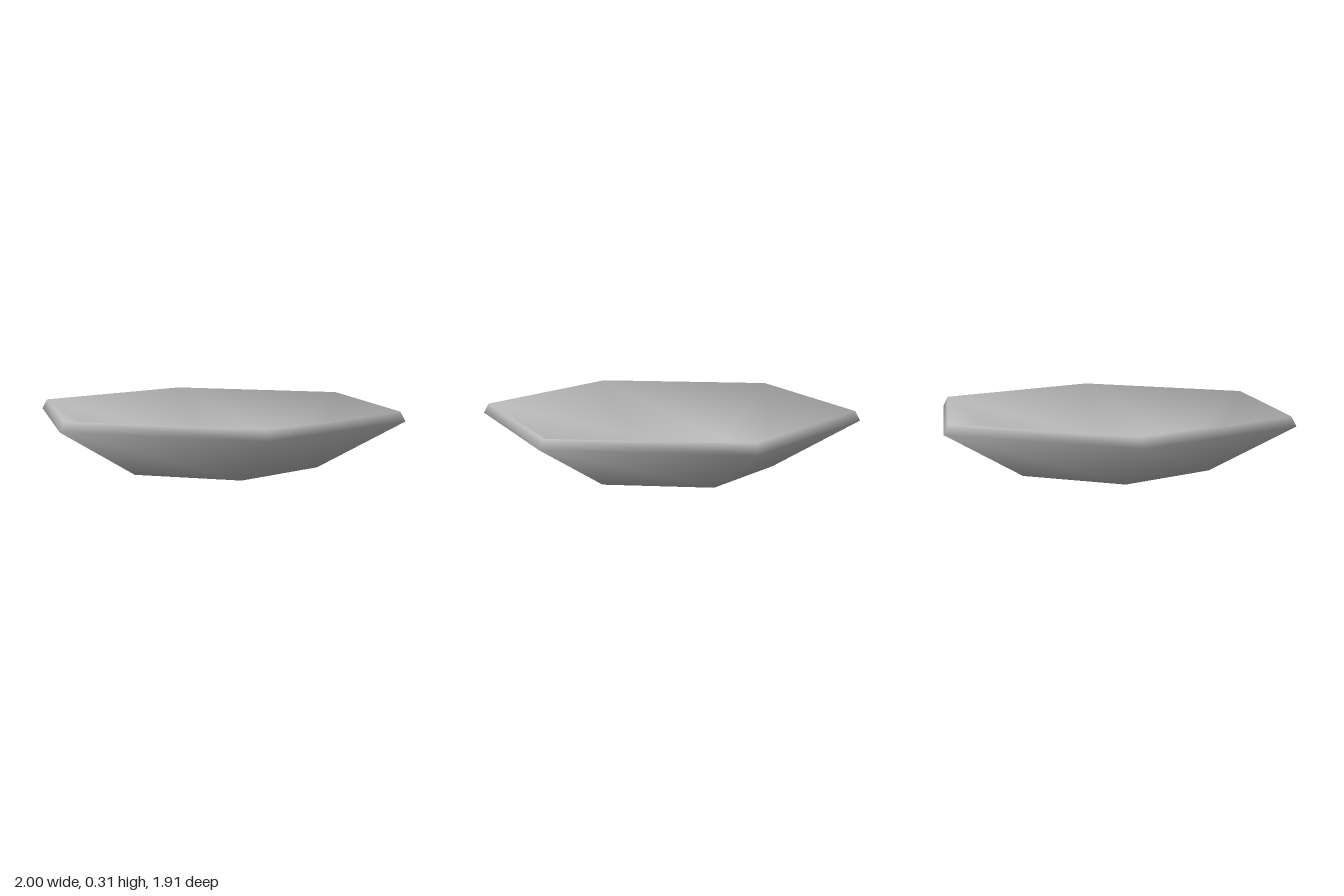
import * as THREE from 'three';

// Cross-section of the thick shell: radius, height, then smooth normal (radial, up)
const PROFILE = [
  [0, 0, 0, -1],               // underside centre
  [0.56, 0, 0.25, -0.97],      // foot edge
  [1.0154, 0.26, 0.96, -0.26], // outer rim
  [0.988, 0.31, 0.52, 0.86],   // rim top
  [0.545, 0.05, -0.25, 0.97],  // inner floor edge
  [0, 0.05, 0, 1],             // inner floor centre
];
const SIDES = 6;
const START = THREE.MathUtils.degToRad(20);

export function createModel() {
  const group = new THREE.Group();
  group.name = 'hexagonalDish';

  const grey = new THREE.MeshStandardMaterial({ color: 0xb8b8b8 });
  grey.name = 'grey';

  const points = PROFILE.map(([r, y]) => new THREE.Vector2(r, y));
  const geometry = new THREE.LatheGeometry(points, SIDES, START);

  // Soft normals that round the rim and the corners
  const normal = geometry.attributes.normal;
  for (let i = 0; i <= SIDES; i++) {
    const phi = START + (i / SIDES) * Math.PI * 2;
    PROFILE.forEach(([, , out, up], j) => {
      const n = new THREE.Vector3(out * Math.sin(phi), up, out * Math.cos(phi)).normalize();
      normal.setXYZ(i * PROFILE.length + j, n.x, n.y, n.z);
    });
  }

  const dish = new THREE.Mesh(geometry, grey);
  dish.name = 'dish';
  group.add(dish);
  return group;
}
